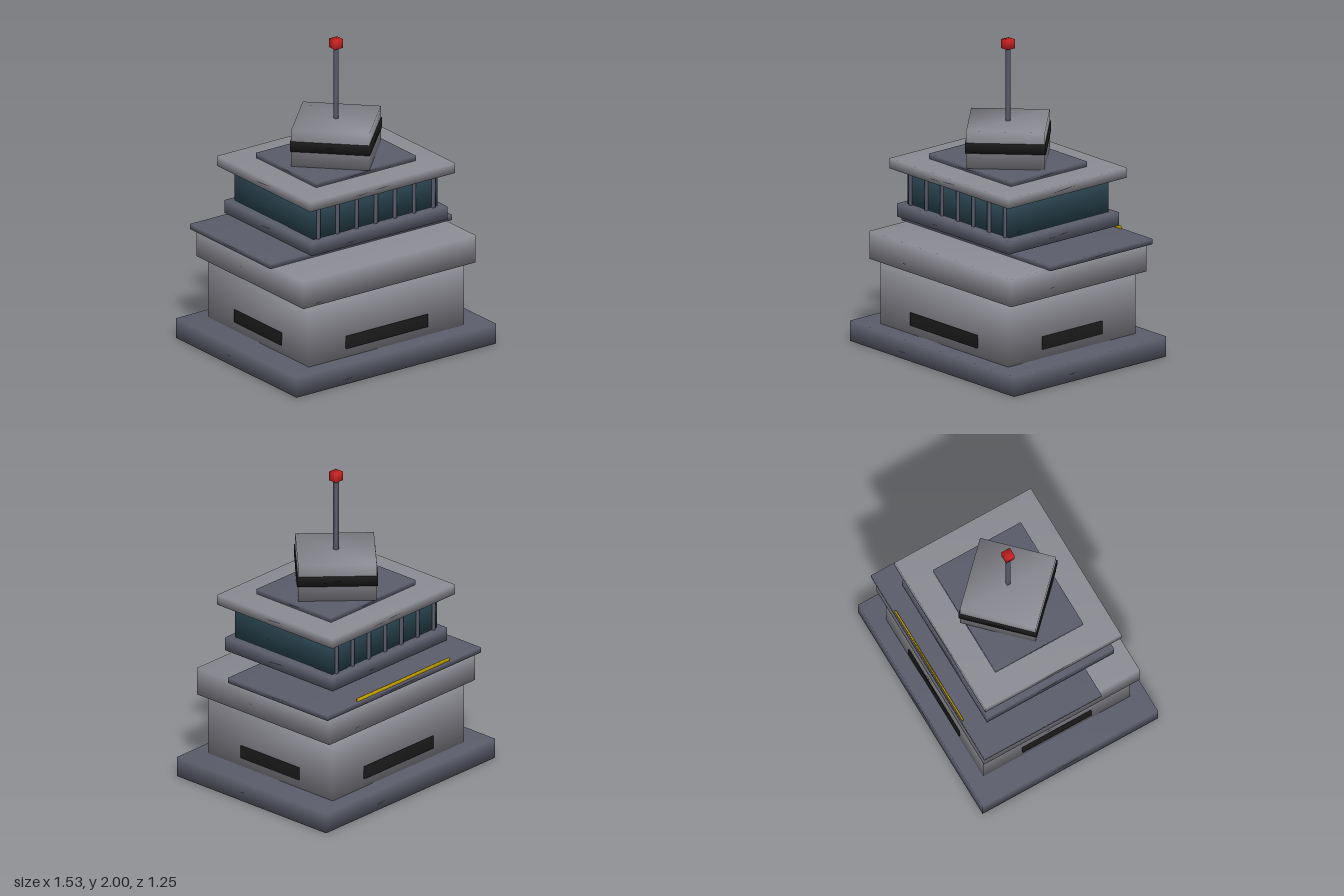
import * as THREE from 'three';
import { mergeVertices } from 'three/addons/utils/BufferGeometryUtils.js';

const material = (name, color) => {
  const m = new THREE.MeshStandardMaterial({ color });
  m.name = name;
  return m;
};

// Box with shared corners, so its shading is soft across the edges
function softBox(w, h, d) {
  let g = new THREE.BoxGeometry(w, h, d);
  g.deleteAttribute('normal');
  g.deleteAttribute('uv');
  g = mergeVertices(g);
  g.computeVertexNormals();
  return g;
}

export function createModel() {
  const model = new THREE.Group();
  model.name = 'tower';
  const concrete = material('concrete', 0x8a8a92);
  const slate = material('slate', 0x5a5c6a);
  const glass = material('glass', 0x2a4450);
  const black = material('black', 0x1a1a1a);
  const yellow = material('yellow', 0xccaa00);
  const red = material('red', 0xcc2222);

  // Box given by its width, depth, bottom and top
  function block(name, mat, w, d, y0, y1, x = 0, z = 0, parent = model) {
    const mesh = new THREE.Mesh(softBox(w, y1 - y0, d), mat);
    mesh.name = name;
    mesh.position.set(x, (y0 + y1) / 2, z);
    parent.add(mesh);
    return mesh;
  }

  // Lower storeys
  block('base', slate, 1.53, 1.25, 0, 0.13);
  block('lowerStorey', concrete, 1.19, 1.045, 0.13, 0.525);
  block('middleStorey', concrete, 1.32, 1.11, 0.54, 0.72);
  block('terrace', slate, 1.39, 0.835, 0.72, 0.755, 0, -0.155);
  block('terraceStripe', yellow, 0.83, 0.01, 0.753, 0.775, 0, -0.562);

  // Slot windows on all four sides
  for (const s of [-1, 1]) {
    block('slotWindow', black, 0.625, 0.009, 0.187, 0.27, 0, s * 0.526);
    block('sideSlotWindow', black, 0.009, 0.49, 0.187, 0.27, s * 0.5965, 0);
  }

  // Glazed storey with mullions at front and back
  block('sill', slate, 1.04, 0.905, 0.825, 0.91);
  block('glazing', glass, 0.95, 0.815, 0.91, 1.135);
  const mullions = new THREE.Group();
  mullions.name = 'mullions';
  model.add(mullions);
  for (let i = -3; i <= 3; i++) {
    for (const s of [-1, 1]) {
      block('mullion', slate, 0.02, 0.02, 0.91, 1.135, i * 0.1467, s * 0.41, mullions);
    }
  }
  block('roof', concrete, 1.11, 0.97, 1.135, 1.2);
  block('roofPlinth', slate, 0.765, 0.625, 1.2, 1.235);

  // Turned cabin with a dark band
  const cabin = new THREE.Group();
  cabin.name = 'cabin';
  cabin.rotation.y = Math.PI / 4;
  model.add(cabin);
  block('cabinBody', concrete, 0.486, 0.486, 1.235, 1.475, 0, 0, cabin);
  block('cabinBand', black, 0.5, 0.5, 1.335, 1.4, 0, 0, cabin);

  // Antenna with a beacon
  block('antenna', slate, 0.024, 0.024, 1.475, 1.945);
  block('beacon', red, 0.06, 0.06, 1.942, 2);

  return model;
}
